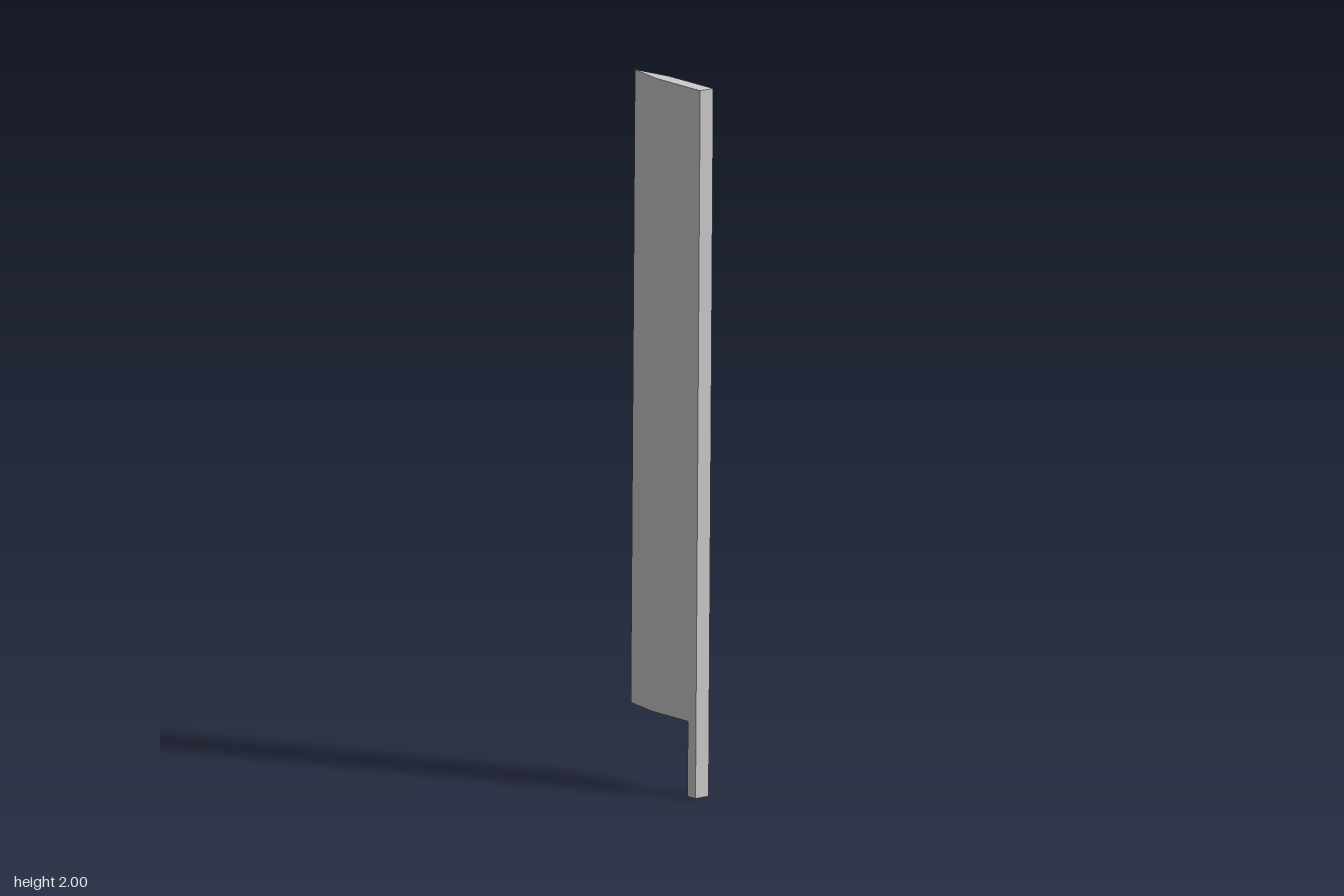
import * as THREE from 'three';

const material = new THREE.MeshStandardMaterial({ color: 0xcccccc, flatShading: true });

// Upright prism from an [x, z] outline, leaning slightly and with gently sloped ends
function leaningPrism(name, outline, y0, y1) {
  const shape = new THREE.Shape(outline.map(([x, z]) => new THREE.Vector2(x, -z)));
  const geometry = new THREE.ExtrudeGeometry(shape, { depth: y1 - y0, bevelEnabled: false });
  geometry.rotateX(-Math.PI / 2).translate(0, y0, 0);
  const p = geometry.attributes.position;
  for (let i = 0; i < p.count; i++) {
    const x = p.getX(i), y = p.getY(i), z = p.getZ(i);
    const slope = 0.016 * (x + 0.15) * Math.min(1, y / 0.2);
    p.setXYZ(i, x + 0.003 * (y - 2), y - slope, z - 0.0058 * (y - 2));
  }
  geometry.computeVertexNormals();
  const mesh = new THREE.Mesh(geometry, material);
  mesh.name = name;
  return mesh;
}

export function createModel() {
  const group = new THREE.Group();
  group.name = 'blade';

  // Wide panel: blunt on one edge, tapering to a sharp edge on the other
  group.add(leaningPrism('panel', [
    [-0.148, 0.006], [-0.032, 0.021], [0.152, 0.01], [0.152, -0.035], [-0.032, -0.023],
  ], 0.216, 2));

  // Narrow tang continuing the blunt edge downwards
  group.add(leaningPrism('tang', [
    [0.118, 0.012], [0.152, 0.01], [0.152, -0.035], [0.118, -0.033],
  ], 0, 0.216));

  return group;
}
